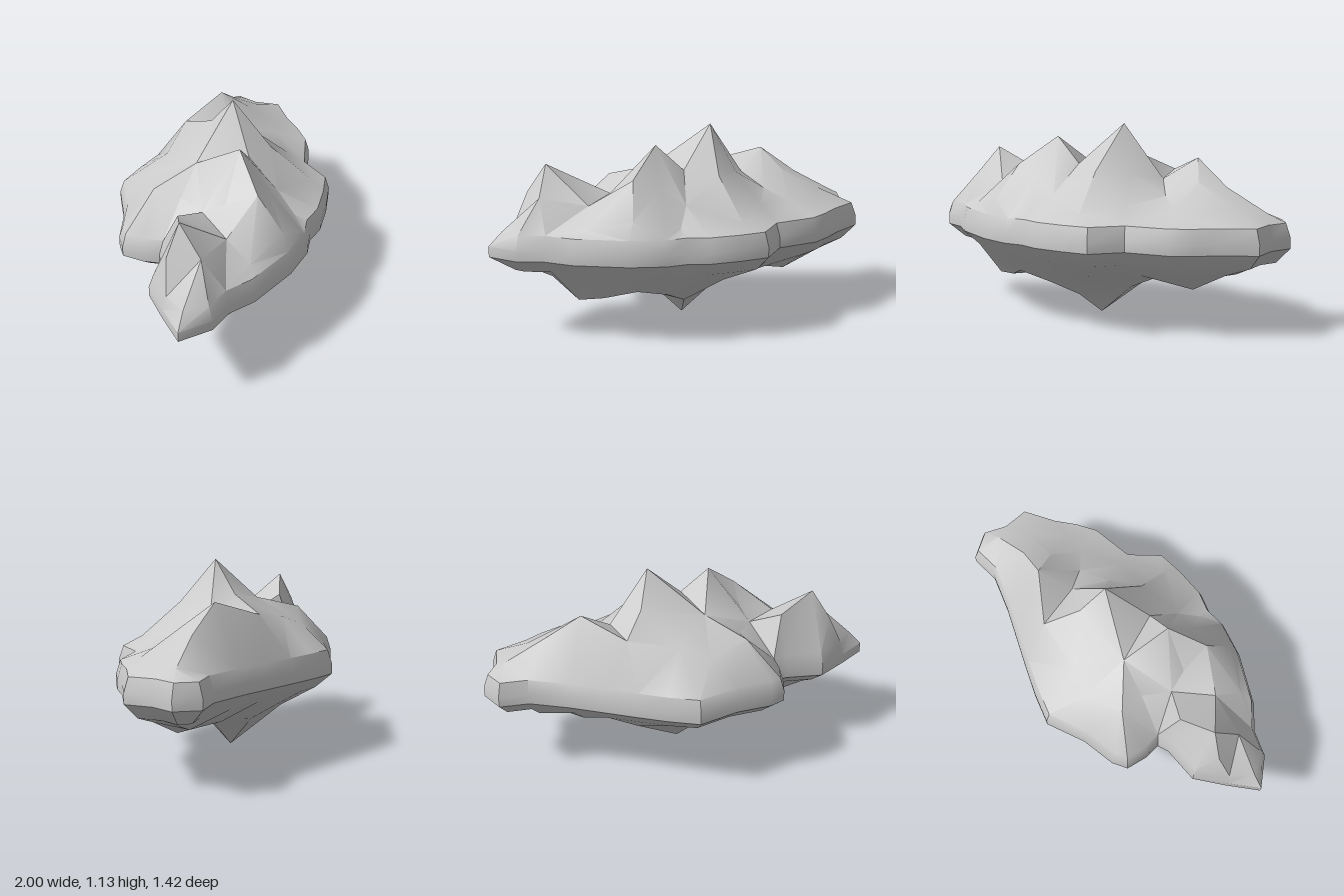
import * as THREE from 'three';
import { toCreasedNormals } from 'three/addons/utils/BufferGeometryUtils.js';

// Widest outline as x, z pairs, front from left to right and then round the back
const OUTLINE = [
  -1, 0.62, -0.82, 0.69, -0.67, 0.67, -0.51, 0.71, -0.2, 0.705, 0, 0.66, 0.1, 0.6, 0.22, 0.58,
  0.38, 0.5, 0.52, 0.41, 0.57, 0.21, 0.77, 0.06, 0.84, -0.06, 0.89, -0.18, 1, -0.36, 0.92, -0.5,
  0.905, -0.64, 0.77, -0.715, 0.63, -0.625, 0.4, -0.585, 0.2, -0.565, 0, -0.545, -0.17, -0.525,
  -0.35, -0.49, -0.5, -0.3, -0.66, -0.17, -0.71, -0.09, -0.67, 0.03, -0.62, 0.11, -0.66, 0.16,
  -0.85, 0.26, -0.93, 0.44,
];

// Peaks, shoulders and hollows of the upper side: x, y, z
const PEAKS = [
  -0.84, 0.79, 0.39, -0.73, 0.95, 0.38, -0.73, 0.79, 0.53, -0.59, 0.84, 0.23, -0.47, 0.74, 0.47,
  -0.46, 0.65, 0.63, -0.19, 0.7, 0.63, -0.4, 0.76, 0.23, -0.31, 0.81, 0.32, -0.22, 0.89, 0.47,
  -0.13, 1.05, 0.26, -0.08, 0.84, 0.42, -0.2, 0.88, 0, -0.47, 0.81, -0.07, -0.39, 0.77, 0.06,
  -0.15, 0.8, -0.28, -0.32, 0.74, -0.26, 0.02, 0.9, 0.2, 0.05, 0.64, 0.52, 0.06, 0.74, 0.38,
  0.14, 1.13, -0.03, 0.22, 0.87, 0.2, 0.37, 0.66, 0.38, 0.45, 0.7, 0.14, 0.3, 0.86, 0.02,
  0.31, 0.82, -0.19, 0.12, 0.94, -0.18, 0.12, 0.85, -0.39, 0.41, 0.94, -0.36, 0.6, 0.68, -0.08,
  0.73, 0.65, -0.13, 0.55, 0.82, -0.27, 0.61, 0.79, -0.42, 0.76, 0.7, -0.36, 0.81, 0.66, -0.55,
  0.45, 0.74, -0.12,
];

// Hanging points of the underside: x, y, z
const ROOTS = [
  -0.02, 0, 0.03, -0.54, 0.19, 0.46, -0.4, 0.2, 0.44, -0.28, 0.22, 0.27, -0.7, 0.31, 0.42,
  0.02, 0.13, 0.2, -0.05, 0.21, 0.36, -0.2, 0.26, 0.48, 0.18, 0.18, -0.06, 0.3, 0.25, -0.18,
  0.26, 0.29, 0.28, 0.48, 0.31, 0.05, 0.57, 0.22, -0.23, 0.62, 0.29, -0.36, 0.66, 0.3, -0.46,
  0.78, 0.33, -0.3, 0.4, 0.29, -0.4, 0.1, 0.24, -0.3, -0.2, 0.26, -0.22, -0.4, 0.3, -0.04,
  -0.45, 0.26, 0.2, -0.21, 0.17, 0.04, 0.66, 0.32, -0.12,
];

const triples = (list) =>
  Array.from({ length: list.length / 3 }, (_, i) => new THREE.Vector3().fromArray(list, i * 3));

// Outline with its edges moved inwards by inset(x), at height y
function ring(y, inset) {
  const n = OUTLINE.length / 2;
  const at = (i) => new THREE.Vector2().fromArray(OUTLINE, ((i + n) % n) * 2);
  return Array.from({ length: n }, (_, i) => {
    const p = at(i);
    const before = at(i).sub(at(i - 1)).normalize();
    const along = at(i + 1).sub(p).normalize().add(before);
    along.multiplyScalar((2 * inset(p.x)) / along.lengthSq());
    return new THREE.Vector3(p.x + along.y, y, p.y - along.x);
  });
}

// Is p inside the circle through a, b and c, seen from above?
function inCircle(a, b, c, p) {
  const [ax, az, bx, bz, cx, cz] = [a, b, c].flatMap((v) => [v.x - p.x, v.z - p.z]);
  const det =
    (ax * ax + az * az) * (bx * cz - cx * bz) -
    (bx * bx + bz * bz) * (ax * cz - cx * az) +
    (cx * cx + cz * cz) * (ax * bz - bx * az);
  const turn = (b.x - a.x) * (c.z - a.z) - (b.z - a.z) * (c.x - a.x);
  return det * Math.sign(turn) > 0;
}

function insideRing(x, z, border) {
  let inside = false;
  border.forEach((a, i) => {
    const b = border[(i + 1) % border.length];
    if (a.z > z !== b.z > z && x < a.x + ((z - a.z) / (b.z - a.z)) * (b.x - a.x)) inside = !inside;
  });
  return inside;
}

// Triangulated terrain from a border ring and inner points; up is 1 or -1
function terrain(border, inner, up) {
  const far = [[-100, -90], [110, -80], [5, 120]].map(([x, z]) => new THREE.Vector3(x, 0, z));
  let tris = [far];
  for (const p of [...border, ...inner]) {
    const bad = tris.filter((t) => inCircle(...t, p));
    const edges = bad.flatMap(([a, b, c]) => [[a, b], [b, c], [c, a]]);
    const rim = edges.filter(
      (e) => !edges.some((f) => f !== e && f.includes(e[0]) && f.includes(e[1])));
    tris = tris.filter((t) => !bad.includes(t)).concat(rim.map(([a, b]) => [a, b, p]));
  }
  return tris
    .filter((t) => !t.some((v) => far.includes(v)))
    .filter(([a, b, c]) => insideRing((a.x + b.x + c.x) / 3, (a.z + b.z + c.z) / 3, border))
    .flatMap(([a, b, c]) => {
      const ny = (b.z - a.z) * (c.x - a.x) - (b.x - a.x) * (c.z - a.z);
      return ny * up > 0 ? [a, b, c] : [a, c, b];
    });
}

// Band of wall between two rings
const band = (low, high) =>
  low.flatMap((a, i) => {
    const j = (i + 1) % low.length;
    return [a, low[j], high[j], a, high[j], high[i]];
  });

export function createModel() {
  const bottom = ring(0.385, (x) => 0.085 - 0.015 * x);
  const lower = ring(0.47, () => 0);
  const upper = ring(0.53, () => 0);
  // the pointed left end slopes back further than the rest
  const top = ring(0.61, (x) => (x < -0.95 ? 0.055 : 0.025));

  const group = new THREE.Group();
  group.name = 'rockyIsland';
  const material = new THREE.MeshStandardMaterial({ color: 0xcccccc });
  const add = (name, points) => {
    const geometry = new THREE.BufferGeometry().setFromPoints(points);
    const mesh = new THREE.Mesh(toCreasedNormals(geometry, Math.PI / 6), material);
    mesh.name = name;
    group.add(mesh);
  };

  // Mountains flowing into the rounded cliff edge, and the hanging underside
  add('mountains', [
    ...band(lower, upper), ...band(upper, top), ...terrain(top, triples(PEAKS), 1),
  ]);
  add('underside', [...band(bottom, lower), ...terrain(bottom, triples(ROOTS), -1)]);
  return group;
}
